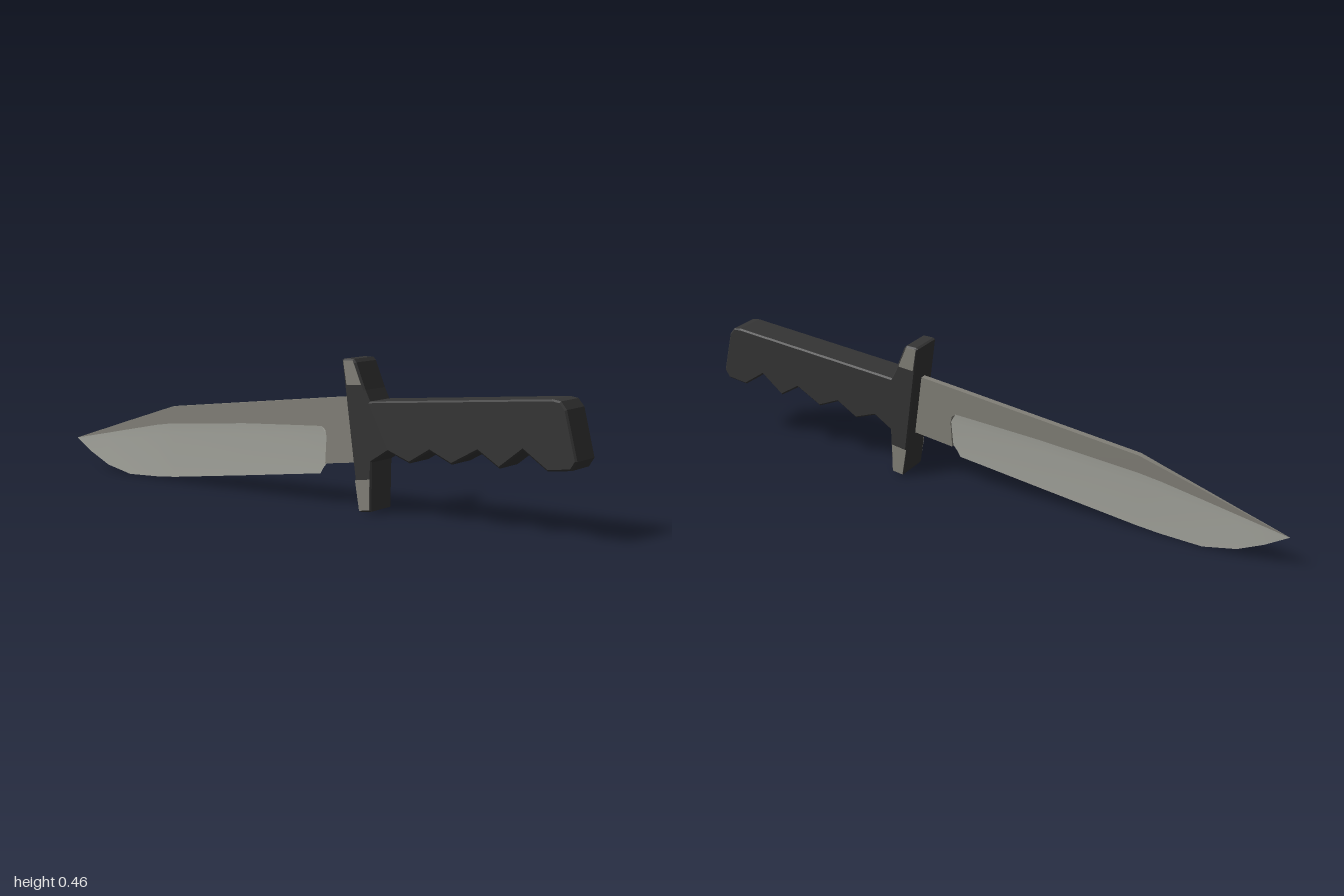
import * as THREE from 'three';

const material = (name, color, side = THREE.FrontSide) => {
  const m = new THREE.MeshStandardMaterial({ color, side });
  m.name = name;
  return m;
};

function outline(points) {
  return new THREE.Shape(points.map(([x, y]) => new THREE.Vector2(x, y)));
}

// Extrusion centred on z = 0, with an optional chamfer kept inside the outline
function slab(points, half, chamfer = 0) {
  const g = new THREE.ExtrudeGeometry(outline(points), {
    depth: 2 * (half - chamfer), bevelEnabled: chamfer > 0, bevelSegments: 1,
    bevelSize: chamfer, bevelThickness: chamfer, bevelOffset: -chamfer,
  });
  return g.translate(0, 0, chamfer - half);
}

// Skin over a grid of points: columns run along +x, flip reverses the corners
function skin(columns, flip = false) {
  const n = columns[0].length, index = [];
  for (let i = 0; i < columns.length - 1; i++) {
    for (let j = 0; j < n - 1; j++) {
      const a = i * n + j, b = a + 1, c = a + n, d = c + 1;
      index.push(...(flip ? [a, d, b, a, c, d] : [a, b, d, a, d, c]));
    }
  }
  const g = new THREE.BufferGeometry();
  g.setAttribute('position', new THREE.Float32BufferAttribute(columns.flat(2), 3));
  g.setIndex(index);
  g.computeVertexNormals();
  return g;
}

export function createModel() {
  const model = new THREE.Group();
  model.name = 'knife';
  const black = material('black grip', 0x353535);
  const steel = material('dark steel', 0x84827a, THREE.DoubleSide);
  const ground = material('ground steel', 0xaaaba3, THREE.DoubleSide);
  const add = (name, geometry, mat) => {
    const mesh = new THREE.Mesh(geometry, mat);
    mesh.name = name;
    model.add(mesh);
    return mesh;
  };

  // Grip and crossguard in one outline, with finger notches underneath
  add('handle', slab([
    [0.215, 0.46], [0.222, 0.464], [0.257, 0.465], [0.266, 0.455], [0.3, 0.375], [0.317, 0.342],
    [0.92, 0.394], [0.945, 0.39], [0.963, 0.368],
    [0.998, 0.23], [0.982, 0.204], [0.91, 0.195],
    [0.834, 0.246], [0.76, 0.187], [0.69, 0.23], [0.604, 0.182],
    [0.53, 0.214], [0.46, 0.171], [0.385, 0.198], [0.326, 0.16],
    [0.324, 0.01], [0.285, 0.005], [0.278, 0.015],
  ], 0.055, 0.005), black);

  // Bare metal faces on the guard tips, front and back
  const tips = {
    upperGuardPlate: [[0.221, 0.458], [0.256, 0.461], [0.287, 0.39], [0.234, 0.385]],
    lowerGuardPlate: [[0.267, 0.1], [0.32, 0.108], [0.32, 0.014], [0.283, 0.009]],
  };
  for (const [name, points] of Object.entries(tips)) {
    for (const s of [1, -1]) {
      add(name, slab(points, 0.001), steel).position.z = s * 0.055;
    }
  }

  // Flat blade root entering the guard
  add('bladeRoot', slab([
    [0.107, 0.333], [0.107, 0.246], [0.12, 0.235], [0.125, 0.215],
    [0.12, 0.13], [0.29, 0.152], [0.27, 0.352],
  ], 0.01), steel);

  // Blade stations: x, spine y, grind line y, edge y, half thickness
  const stations = [
    [-1, 0.107, 0.107, 0.107, 0.0005],
    [-0.925, 0.131, 0.122, 0.062, 0.002],
    [-0.845, 0.156, 0.138, 0.025, 0.003],
    [-0.738, 0.19, 0.16, 0.003, 0.005],
    [-0.6, 0.233, 0.188, 0.009, 0.008],
    [-0.524, 0.257, 0.2, 0.016, 0.01],
    [-0.2, 0.296, 0.228, 0.057, 0.01],
    [0, 0.32, 0.24, 0.083, 0.01],
    [0.107, 0.333, 0.246, 0.095, 0.01],
  ];
  const last = stations.length - 1;
  add('spine', skin(stations.map(([x, y, , , t]) => [[x, y, -t], [x, y, t]])), steel);

  // Hollow grind: share of height, share of thickness, end x at the blade root
  const grind = [[0, 1, 0.107], [0.2, 0.65, 0.125], [0.75, 0.18, 0.12], [0.88, 0.08, 0.105], [1, 0, 0.095]];
  for (const s of [1, -1]) {
    add('bladeFlat', skin(stations.map(([x, top, mid, , t]) =>
      [[x, top, s * t], [x, mid, s * t]]), s < 0), steel);
    add('bladeGrind', skin(stations.map(([x, , mid, edge, t], i) =>
      grind.map(([h, w, end]) =>
        [i === last ? end : x, mid + (edge - mid) * h, s * t * w])), s < 0), ground);
  }
  return model;
}
